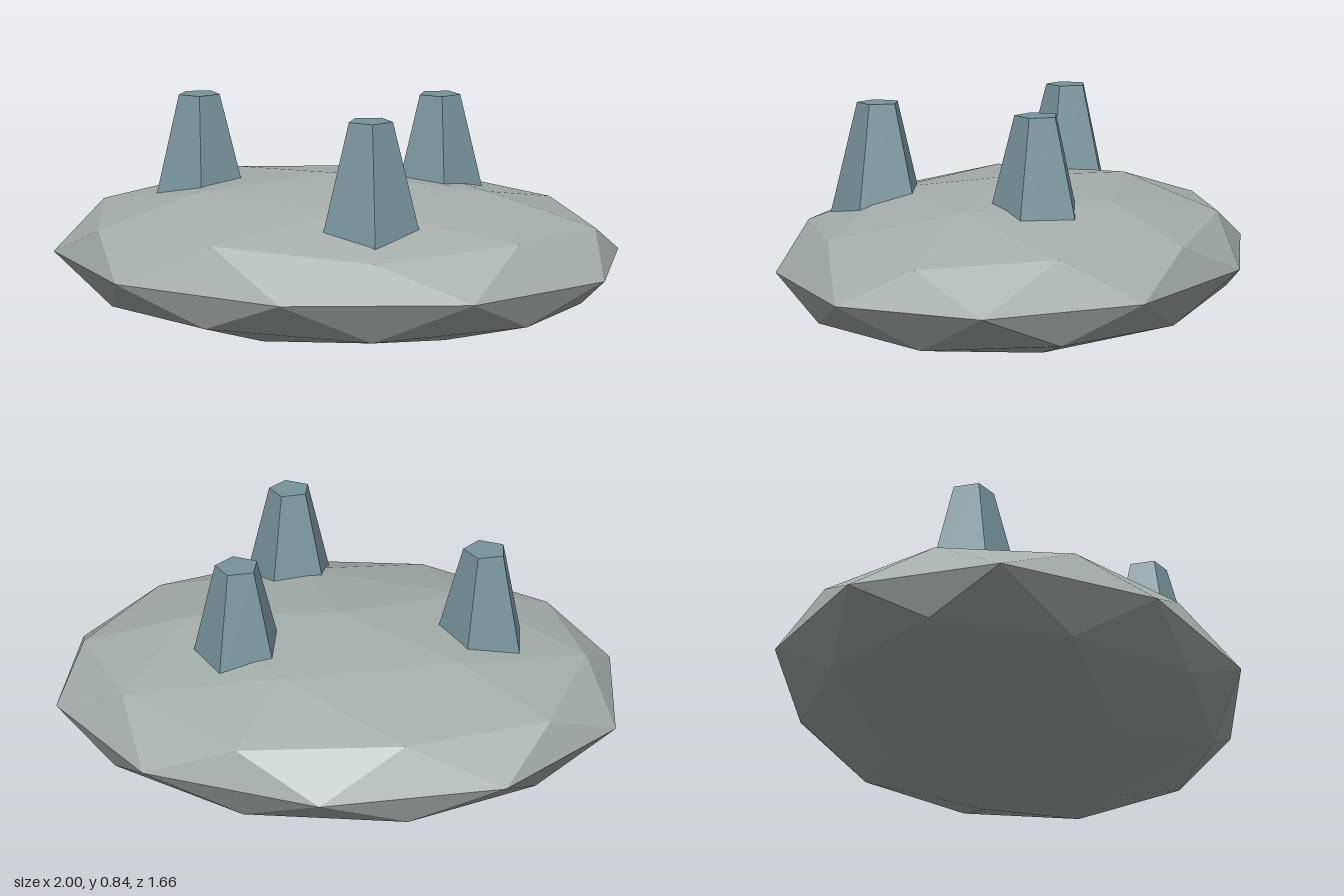
import * as THREE from 'three';

export function createModel() {
  const model = new THREE.Group();
  const stone = new THREE.MeshStandardMaterial({ color: 0xa3adaa, flatShading: true });
  stone.name = 'pale grey stone';
  const slate = new THREE.MeshStandardMaterial({ color: 0x78949c, flatShading: true });
  slate.name = 'blue grey';

  // Flattened faceted body: icosphere turned so a vertex points straight up
  const bodyGeometry = new THREE.IcosahedronGeometry(1, 1);
  bodyGeometry.rotateZ(-Math.atan(2 / (1 + Math.sqrt(5))));
  bodyGeometry.scale(1.0515, 0.286, 0.83);
  bodyGeometry.translate(0, 0.286, 0);
  bodyGeometry.computeVertexNormals();
  const body = new THREE.Mesh(bodyGeometry, stone);
  body.name = 'body';
  model.add(body);

  // Three tapered five-sided towers, sunk into the body, one corner towards +x
  const top = 0.845, bottom = 0.4;
  const towerGeometry = new THREE.CylinderGeometry(0.078, 0.19, top - bottom, 5, 1, false, Math.PI / 2);
  const spots = { rightTower: [-0.517, 0], frontTower: [0.22, 0.453], backTower: [0.338, -0.196] };
  for (const [name, [x, z]] of Object.entries(spots)) {
    const tower = new THREE.Mesh(towerGeometry, slate);
    tower.name = name;
    tower.position.set(x, (top + bottom) / 2, z);
    model.add(tower);
  }
  return model;
}
